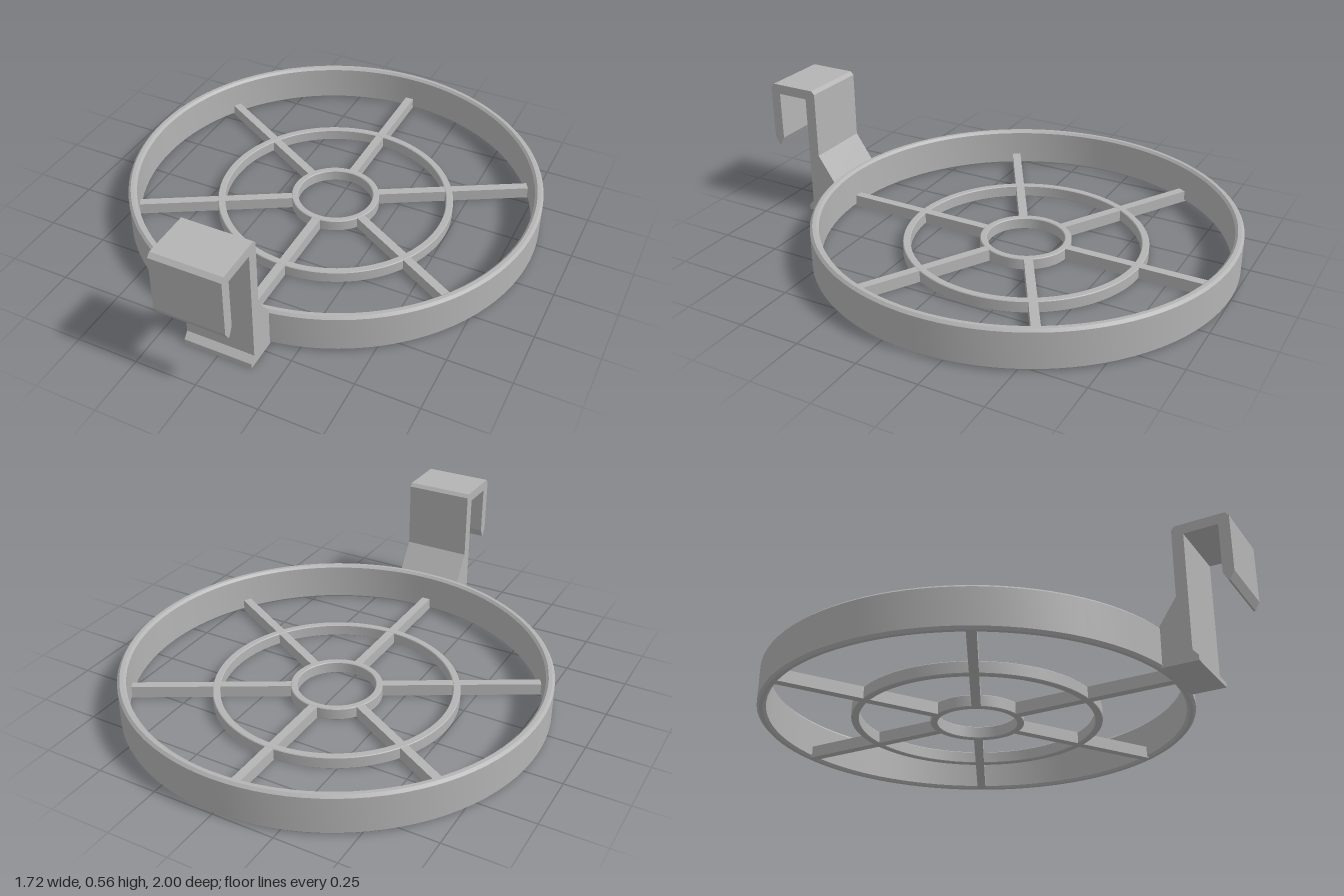
import * as THREE from 'three';
import { toCreasedNormals } from 'three/addons/utils/BufferGeometryUtils.js';

const CENTRE_Z = -0.14; // centre of the wheel-shaped tray

// Ring with a chamfered rectangular section, standing on y = 0
function ring(name, outer, inner, height, chamfer, material) {
  const c = chamfer;
  const profile = [
    [outer - c, 0], [outer, c], [outer, height - c], [outer - c, height],
    [inner + c, height], [inner, height - c], [inner, c], [inner + c, 0], [outer - c, 0],
  ].map(([r, y]) => new THREE.Vector2(r, y));
  const geometry = toCreasedNormals(new THREE.LatheGeometry(profile, 96), 0.4);
  const mesh = new THREE.Mesh(geometry, material);
  mesh.name = name;
  return mesh;
}

export function createModel() {
  const grey = new THREE.MeshStandardMaterial({ color: 0xb4b4b4 });
  grey.name = 'grey plastic';

  const model = new THREE.Group();
  model.name = 'hookedRingHolder';

  // Tray: tall rim, two low rings and six spokes
  const tray = new THREE.Group();
  tray.name = 'tray';
  tray.position.z = CENTRE_Z;
  tray.add(
    ring('rim', 0.86, 0.825, 0.165, 0.01, grey),
    ring('middleRing', 0.498, 0.468, 0.05, 0.003, grey),
    ring('hubRing', 0.186, 0.158, 0.05, 0.003, grey),
  );
  const spokeStart = 0.172, spokeEnd = 0.838;
  for (let i = 0; i < 6; i++) {
    const geometry = new THREE.BoxGeometry(spokeEnd - spokeStart, 0.049, 0.036);
    geometry.translate((spokeStart + spokeEnd) / 2, 0.0245, 0);
    const spoke = new THREE.Mesh(geometry, grey);
    spoke.name = 'spoke' + (i + 1);
    spoke.rotation.y = Math.PI / 6 + i * Math.PI / 3;
    tray.add(spoke);
  }
  model.add(tray);

  // Hook: side profile as (z, y), extruded across the width
  const profile = [
    [0.705, 0], [0.845, 0], [0.845, 0.02], [0.823, 0.045], [0.823, 0.515],
    [0.957, 0.515], [0.957, 0.315], [0.975, 0.28], [0.982, 0.28], [1, 0.313],
    [1, 0.54], [0.985, 0.556], [0.79, 0.556], [0.777, 0.542],
    [0.777, 0.267], [0.705, 0.16],
  ].map(([z, y]) => new THREE.Vector2(z, y));
  const width = 0.28;
  const hookGeometry = new THREE.ExtrudeGeometry(new THREE.Shape(profile), {
    depth: width, bevelEnabled: false,
  });
  hookGeometry.translate(0, 0, -width / 2);
  hookGeometry.rotateY(-Math.PI / 2);
  const hook = new THREE.Mesh(hookGeometry, grey);
  hook.name = 'hook';
  model.add(hook);

  return model;
}
